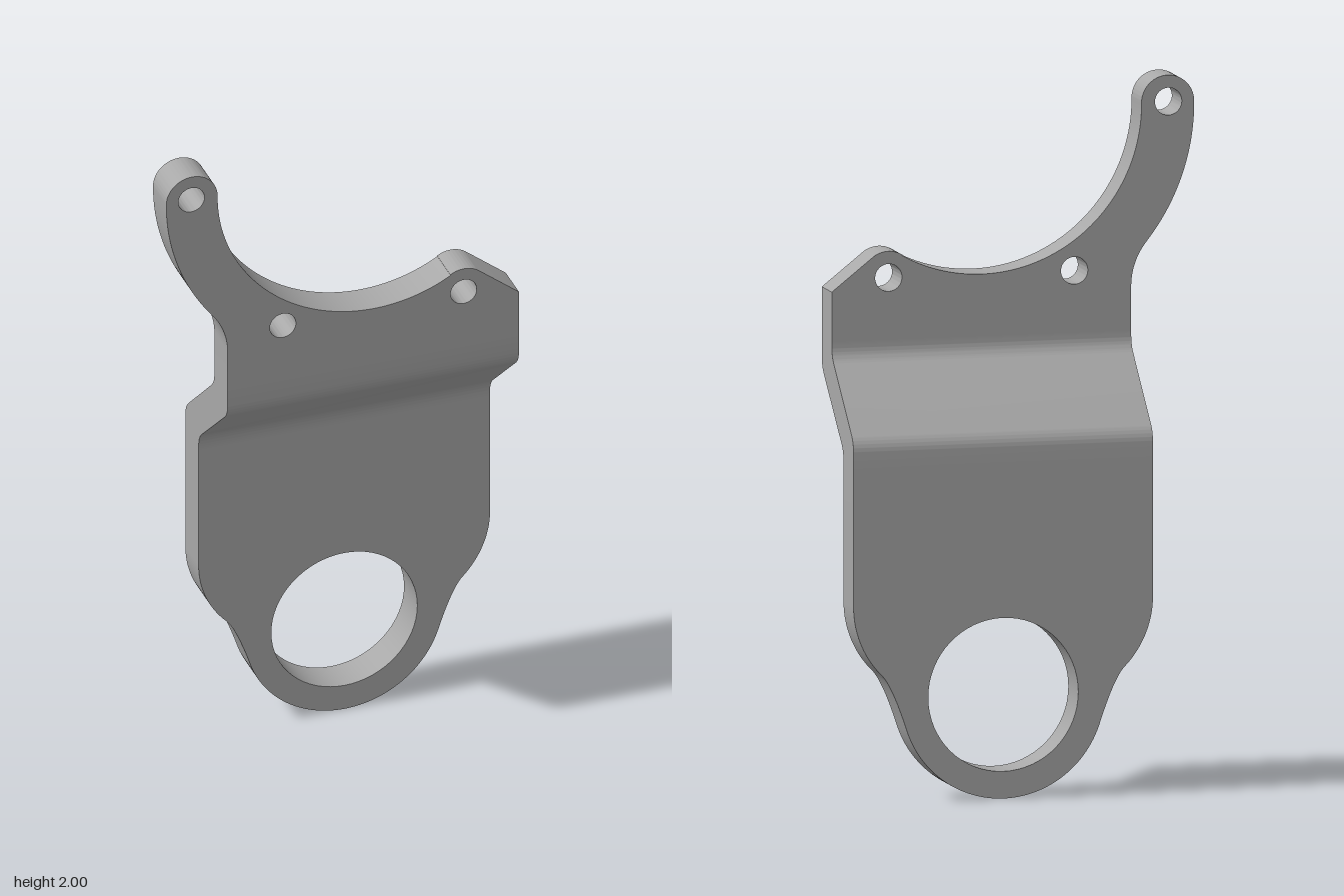
import * as THREE from 'three';
import { toCreasedNormals } from 'three/addons/utils/BufferGeometryUtils.js';

const LEFT = -0.345, RIGHT = 0.525, MID = 0.09; // plate edges and its centre line
const T = 0.11;                                 // sheet thickness
const UPPER_Y = 1.28, LOWER_Y = 0.94;           // where the plates meet the bend

function hole(shape, x, y, r) {
  const p = new THREE.Path();
  p.absarc(x, y, r, 0, Math.PI * 2, true);
  shape.holes.push(p);
}

function extrude(shape, depth) {
  return new THREE.ExtrudeGeometry(shape, { depth, bevelEnabled: false, curveSegments: 32 });
}

// Upper plate: curved arm, concave saddle and a chamfered lug
function upperShape() {
  const s = new THREE.Shape();
  const cy = 1.92, rIn = 0.465, rOut = 0.618, tip = (rOut - rIn) / 2;
  s.moveTo(LEFT, UPPER_Y);
  s.lineTo(RIGHT, UPPER_Y);
  s.lineTo(RIGHT, 1.42);
  s.absarc(0.36, 1.455, 0.075, 0.88, 2.13, false);
  s.absarc(MID, cy, rIn, Math.atan2(-0.402, 0.23), -Math.PI, true);
  s.absarc(MID - rIn - tip, cy + 0.0035, tip, 0, Math.PI, false);
  const a = Math.atan2(0.516, 0.635);
  s.absarc(MID, cy, rOut, Math.PI, Math.PI + a, false);
  s.absarc(LEFT - 0.2, 1.404, 0.2, a, 0, true);
  s.closePath();
  hole(s, -0.453, 1.925, 0.039);
  hole(s, -0.18, 1.455, 0.039);
  hole(s, 0.36, 1.455, 0.039);
  return s;
}

// Lower plate: rounded shoulders flowing into a ring
function lowerShape() {
  const s = new THREE.Shape();
  const cy = 0.295, r = 0.295, a = Math.atan2(-0.09, 0.281);
  const rx = MID + r * Math.cos(a), ry = cy + r * Math.sin(a);
  const shoulder = 0.28, k = shoulder * Math.SQRT1_2, sy = 0.56;
  const ex = RIGHT - shoulder + k, ey = sy - k;
  const mx = (x) => 2 * MID - x;
  s.moveTo(RIGHT, LOWER_Y);
  s.lineTo(LEFT, LOWER_Y);
  s.absarc(LEFT + shoulder, sy, shoulder, Math.PI, Math.PI * 1.25, false);
  s.quadraticCurveTo(mx(ex - 0.03), ey - 0.03, mx(rx), ry);
  s.absarc(MID, cy, r, Math.PI - a, Math.PI * 2 + a, false);
  s.quadraticCurveTo(ex - 0.03, ey - 0.03, ex, ey);
  s.absarc(RIGHT - shoulder, sy, shoulder, -Math.PI / 4, 0, false);
  s.closePath();
  hole(s, MID, cy, 0.218);
  return s;
}

// Side profile of the bend, drawn as (-z, y) with rounded corners
function bendShape() {
  const s = new THREE.Shape();
  const corner = (x, y, dir) => { // dir -1 runs down the front, +1 up the back
    const before = [x, y - dir * 0.03], slope = [x + 0.024, y - 0.021];
    const upper = x < 0 ? true : false;
    const first = dir < 0 ? (upper ? before : [x - 0.024, y + 0.021]) : (upper ? slope : before);
    const last = dir < 0 ? (upper ? slope : before.map((v, i) => (i ? y - 0.03 : v)))
      : (upper ? [x, y + 0.03] : [x - 0.024, y + 0.021]);
    s.lineTo(...first);
    s.quadraticCurveTo(x, y, ...last);
  };
  s.moveTo(-0.175, UPPER_Y);
  corner(-0.175, 1.195, -1);
  corner(0.065, 0.985, -1);
  s.lineTo(0.065, LOWER_Y);
  s.lineTo(0.175, LOWER_Y);
  corner(0.175, 1.025, 1);
  corner(-0.065, 1.238, 1);
  s.lineTo(-0.065, UPPER_Y);
  s.closePath();
  return s;
}

export function createModel() {
  const group = new THREE.Group();
  group.name = 'bracket';
  const metal = new THREE.MeshStandardMaterial({ color: 0xa8a8a8 });
  metal.name = 'grey metal';

  const add = (name, geometry) => {
    const mesh = new THREE.Mesh(toCreasedNormals(geometry, 0.5), metal);
    mesh.name = name;
    group.add(mesh);
  };

  add('upperPlate', extrude(upperShape(), T).translate(0, 0, 0.065));
  add('lowerPlate', extrude(lowerShape(), T).translate(0, 0, -0.175));
  add('bend', extrude(bendShape(), RIGHT - LEFT).rotateY(Math.PI / 2).translate(LEFT, 0, 0));
  return group;
}
